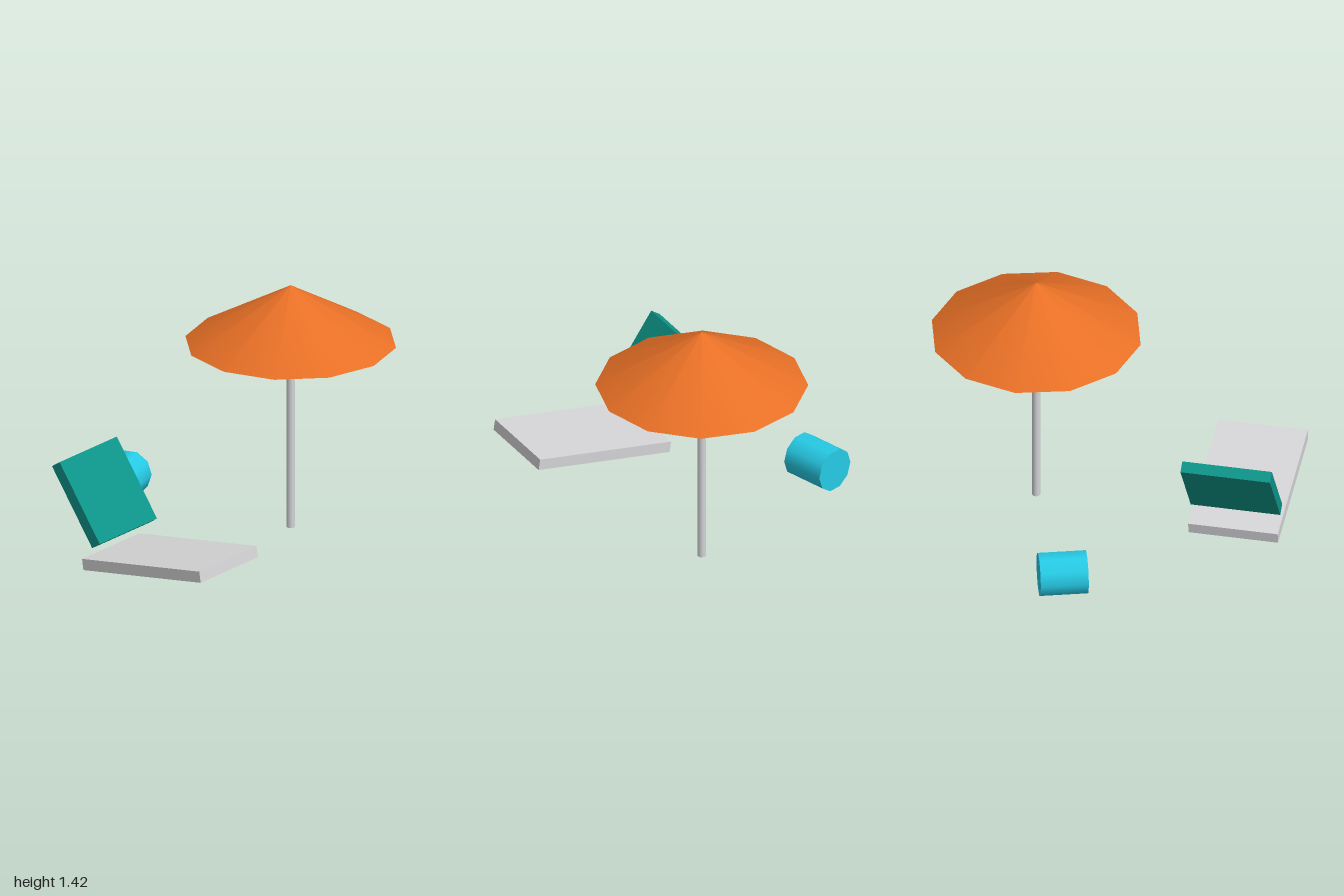
import * as THREE from 'three';

const material = (name, color) => {
  const m = new THREE.MeshStandardMaterial({ color });
  m.name = name;
  return m;
};

export function createModel() {
  const model = new THREE.Group();
  model.name = 'beachSet';

  const orange = material('canopy orange', 0xe87026);
  const silver = material('pole silver', 0xd4d6d8);
  const pale = material('seat pale grey', 0xd6d6d8);
  const teal = material('backrest teal', 0x0d9488);
  const cyan = material('roll cyan', 0x26cbe6);

  const add = (name, geometry, mat, position, rotation = [0, 0, 0], parent = model) => {
    const mesh = new THREE.Mesh(geometry, mat);
    mesh.name = name;
    mesh.position.set(...position);
    mesh.rotation.set(...rotation);
    parent.add(mesh);
    return mesh;
  };

  // Parasol: twelve-sided closed canopy on a thin pole
  const parasol = new THREE.Group();
  parasol.name = 'parasol';
  parasol.position.set(0.415, 0, 0.242);
  model.add(parasol);
  add('canopy', new THREE.ConeGeometry(0.583, 0.333, 12), orange, [0, 1.25, 0], [0, 0, 0], parasol);
  add('pole', new THREE.CylinderGeometry(0.024, 0.024, 1.17, 10), silver, [0, 0.585, 0], [0, 0, 0], parasol);

  // Lounger: tilted seat slab and leaning backrest
  const lounger = new THREE.Group();
  lounger.name = 'lounger';
  lounger.position.x = -0.75;
  model.add(lounger);
  add('seat', new THREE.BoxGeometry(0.5, 0.064, 0.833), pale, [0, 0.188, 0.332], [-0.15, 0, 0], lounger);
  add('backrest', new THREE.BoxGeometry(0.5, 0.5, 0.064), teal, [0, 0.462, -0.128], [-0.6, 0, 0], lounger);

  // Ten-sided roll lying on its side
  add('roll', new THREE.CylinderGeometry(0.124, 0.124, 0.264, 10), cyan,
    [0.08, 0.155, -0.675], [0, 0.3, Math.PI / 2]);

  return model;
}
